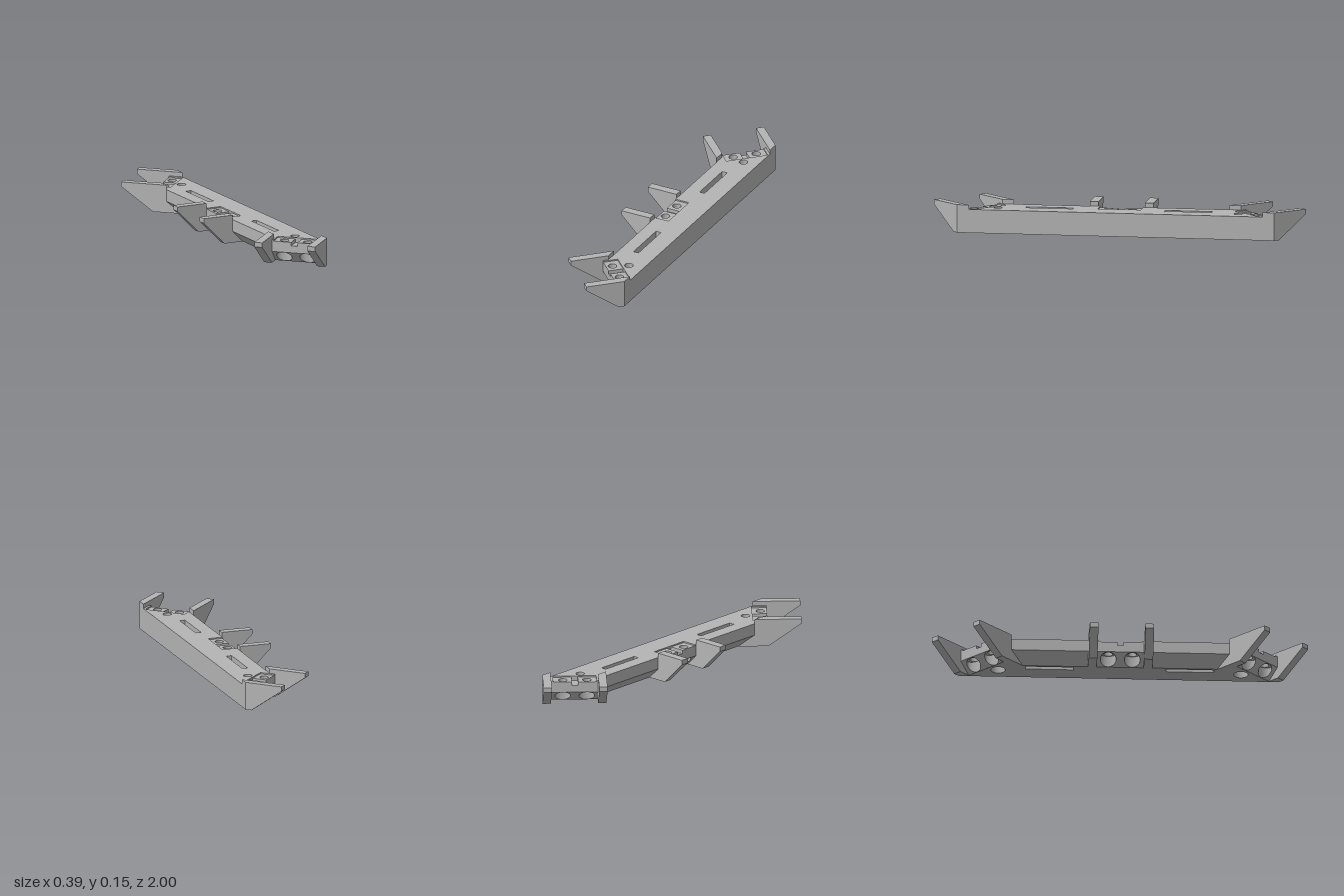
import * as THREE from 'three';

const R = Math.SQRT1_2;
const TOP = 0.126, PAD = 0.119, GROOVE = 0.1, MID = 0.062, BORE = 0.023;

// Docking faces: a middle one on the long side and one on each slanted end.
const DOCKS = [
  { o: [0.05, 0.75], along: [R, R], inward: [R, -R], half: 0.14 },
  { o: [-0.015, 0], along: [0, 1], inward: [1, 0], half: 0.62 },
  { o: [0.05, -0.75], along: [-R, R], inward: [R, R], half: 0.14 },
];
const at = (d, a, i) => [
  d.o[0] + d.along[0] * a + d.inward[0] * i,
  d.o[1] + d.along[1] * a + d.inward[1] * i,
];
const shapeOf = (pts) => new THREE.Shape(pts.map((p) => new THREE.Vector2(...p)));
const circle = (x, z, r) => new THREE.Path().absarc(x, z, r, 0, Math.PI * 2, true);
const slotPts = (s) => [[0.06, s * 0.245], [0.09, s * 0.245], [0.09, s * 0.5], [0.06, s * 0.5]];
const slotPath = (s) => new THREE.Path(slotPts(s).map((p) => new THREE.Vector2(...p)));

// Plan outline, with a notch of the given half width cut into every dock.
function outline(w) {
  const notch = (d) => (w ? [at(d, w, 0), at(d, w, 0.08), at(d, -w, 0.08), at(d, -w, 0)] : []);
  return [
    [0.193, -0.807], [0.193, 0.807], [0.15, 0.85], ...notch(DOCKS[0]),
    [-0.04, 0.66], [-0.015, 0.635], ...notch(DOCKS[1]),
    [-0.015, -0.635], [-0.04, -0.66], ...notch(DOCKS[2]), [0.15, -0.85],
  ];
}

// Flat layer of the bar between two heights.
function layer(y0, y1, notch, padHoles) {
  const s = shapeOf(outline(notch));
  for (const k of [1, -1]) s.holes.push(slotPath(k), circle(0.11, k * 0.645, BORE));
  if (padHoles) {
    for (const d of DOCKS)
      for (const k of [1, -1]) s.holes.push(circle(...at(d, k * 0.064, 0.035), BORE));
  }
  const g = new THREE.ExtrudeGeometry(s, { depth: y1 - y0, bevelEnabled: false, curveSegments: 20 });
  return g.rotateX(Math.PI / 2).translate(0, y1, 0);
}

// Wall joining two closed rings of points.
function wall(lower, upper, smooth) {
  const n = lower.length, index = [];
  for (let i = 0; i < n; i++) {
    const j = (i + 1) % n;
    index.push(i, j, n + j, i, n + j, n + i);
  }
  let g = new THREE.BufferGeometry();
  g.setAttribute('position', new THREE.Float32BufferAttribute([...lower, ...upper].flat(), 3));
  g.setIndex(index);
  if (!smooth) g = g.toNonIndexed();
  g.computeVertexNormals();
  return g;
}

// Undercut face below a dock, leaning inward at 45 degrees.
const SLANT = MID / R, POCKET = 0.042;
const onSlant = (d, a, b) => {
  const [x, z] = at(d, a, b * R);
  return [x, MID - b * R, z];
};
function slantFace(d) {
  const s = shapeOf([[-d.half, 0], [d.half, 0], [d.half, SLANT], [-d.half, SLANT]]);
  for (const k of [1, -1]) s.holes.push(circle(k * 0.064, SLANT / 2, POCKET));
  const g = new THREE.ShapeGeometry(s, 20);
  const p = g.attributes.position;
  for (let i = 0; i < p.count; i++) p.setXYZ(i, ...onSlant(d, p.getX(i), p.getY(i)));
  g.computeVertexNormals();
  // Make the face look outward and down.
  if (g.attributes.normal.getY(0) > 0) {
    const ix = g.index.array;
    for (let i = 0; i < ix.length; i += 3) [ix[i], ix[i + 1]] = [ix[i + 1], ix[i]];
    g.computeVertexNormals();
  }
  return g;
}
const ring = (f, n = 36) => Array.from({ length: n }, (_, i) => f(-(i / n) * Math.PI * 2));

// Fin with a sloping underside; its foot is cut parallel to the bar.
function fin(o, dir, length, run, inset, thickness) {
  const foot = inset ? [[-inset, 0], [-inset, 0.095], [0, 0.095]] : [[0, 0]];
  const s = shapeOf([[0, 0.15], [length, 0.15], [length, 0.125], [length - run, 0], ...foot]);
  const g = new THREE.ExtrudeGeometry(s, { depth: thickness, bevelEnabled: false });
  g.translate(0, 0, -thickness / 2);
  const p = g.attributes.position;
  for (let i = 0; i < p.count; i++) {
    const t = p.getZ(i);
    let along = p.getX(i);
    if (along < 0.001) along += (t * dir[1]) / dir[0];
    p.setXYZ(i, o[0] + along * dir[0] - t * dir[1], p.getY(i), o[1] + along * dir[1] + t * dir[0]);
  }
  g.computeVertexNormals();
  return g;
}

export function createModel() {
  const model = new THREE.Group();
  model.name = 'mountingBar';
  const grey = new THREE.MeshStandardMaterial({ color: 0xb4b4b4, side: THREE.DoubleSide });
  grey.name = 'plain grey';
  const add = (name, geometry) => {
    const m = new THREE.Mesh(geometry, grey);
    m.name = name;
    model.add(m);
  };

  // Upper half of the bar: core, grooved pads, top skin around the pads
  add('barCore', layer(MID, GROOVE, 0, true));
  add('groovedPads', layer(GROOVE, PAD, 0.017, true));
  add('barTop', layer(PAD, TOP, 0.115, false));

  // Flat underside and plain long side
  const base = shapeOf([
    [0.193, -0.805], [0.193, 0.805], [-0.006, 0.606], [0.047, 0.553],
    [0.047, -0.553], [-0.006, -0.606],
  ]);
  for (const k of [1, -1]) base.holes.push(slotPath(k), circle(0.11, k * 0.645, 0.038));
  add('underside', new THREE.ShapeGeometry(base, 20).rotateX(Math.PI / 2));
  add('plainSide', new THREE.PlaneGeometry(1.614, MID).rotateY(Math.PI / 2).translate(0.193, MID / 2, 0));

  // Undercut faces with round pockets
  for (const d of DOCKS) {
    add('undercutFace', slantFace(d));
    for (const k of [1, -1]) {
      const low = ring((t) =>
        onSlant(d, k * 0.064 + POCKET * Math.cos(t), SLANT / 2 + POCKET * Math.sin(t)));
      add('pocketWall', wall(low, low.map(([x, , z]) => [x, MID, z]), true));
    }
  }

  for (const k of [1, -1]) {
    // Slot walls and counterbores in the lower half
    const lift = (y) => slotPts(k).map(([x, z]) => [x, y, z]);
    add('slotWall', wall(lift(0), lift(MID)));
    const bore = (y) => ring((t) => [0.11 + 0.038 * Math.cos(t), y, k * 0.645 + 0.038 * Math.sin(t)]);
    add('counterboreWall', wall(bore(0), bore(MID), true));

    // Guide fins: straight pair in the middle, splayed pairs at the ends
    add('middleFin', fin([-0.015, k * 0.148], [-1, 0], 0.172, 0.125, 0.065, 0.046));
    add('innerEndFin', fin([-0.015, k * 0.61], [-R, k * R], 0.23, 0.177, 0.09, 0.044));
    add('outerEndFin', fin([0.193, k * 0.82], [-R, k * R], 0.232, 0.177, 0, 0.044));
  }
  return model;
}
